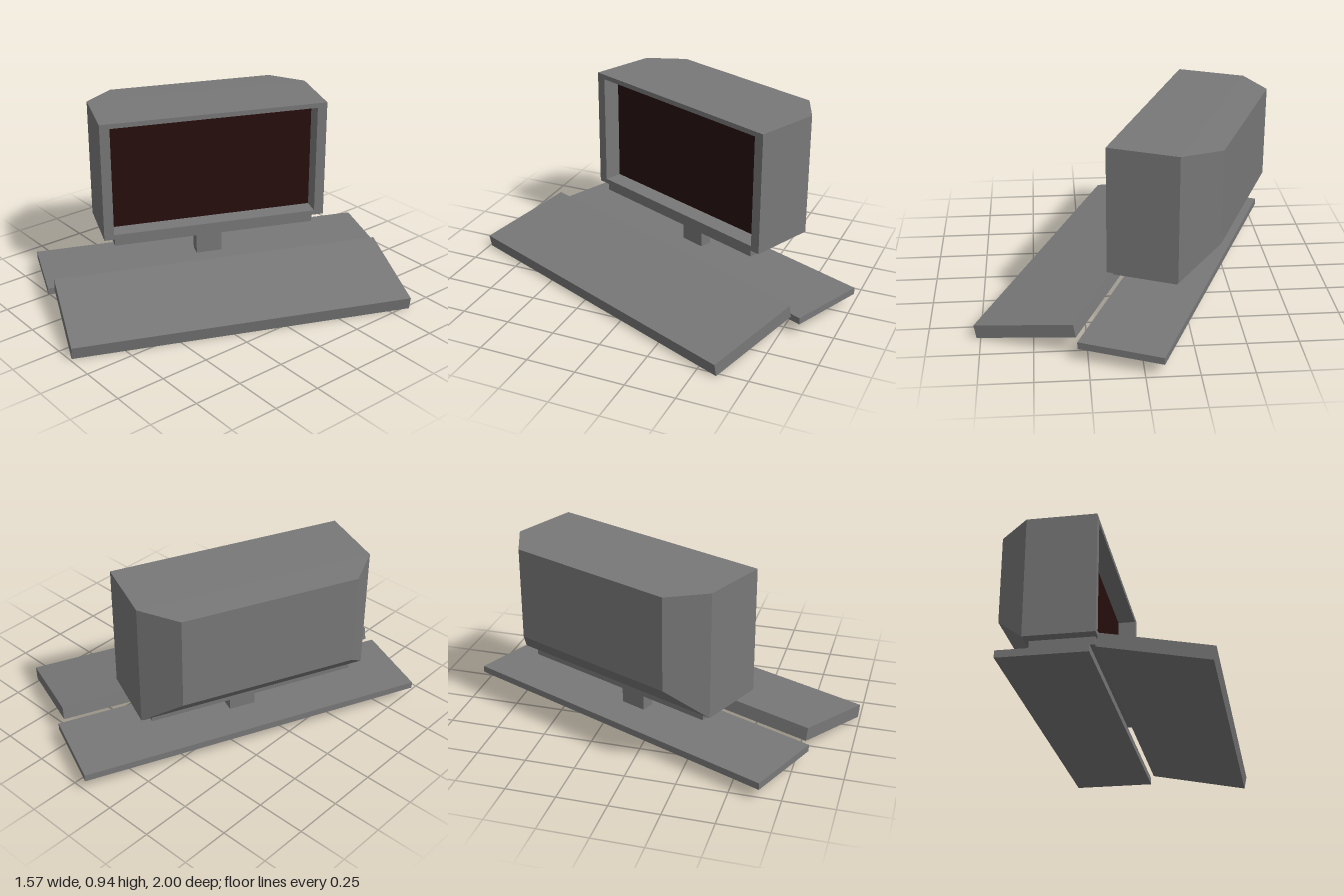
import * as THREE from 'three';

const grey = new THREE.MeshStandardMaterial({ color: 0x787878 });
grey.name = 'casingGrey';
const dark = new THREE.MeshStandardMaterial({ color: 0x280e0e });
dark.name = 'screenDarkRed';

// Skin through rectangles [halfWidth, bottom, top, z], closing the last one
function loftRectangles(rects) {
  const loops = rects.map(([w, y0, y1, z]) => [[-w, y0, z], [w, y0, z], [w, y1, z], [-w, y1, z]]);
  const pos = [];
  const quad = (a, b, c, d) => pos.push(...a, ...b, ...c, ...a, ...c, ...d);
  for (let k = 0; k < loops.length - 1; k++) {
    const a = loops[k], b = loops[k + 1];
    for (let i = 0; i < 4; i++) {
      const j = (i + 1) % 4;
      quad(a[i], b[i], b[j], a[j]);
    }
  }
  const e = loops[loops.length - 1];
  quad(e[3], e[2], e[1], e[0]);
  const g = new THREE.BufferGeometry();
  g.setAttribute('position', new THREE.Float32BufferAttribute(pos, 3));
  g.computeVertexNormals();
  return g;
}

export function createModel() {
  const model = new THREE.Group();
  model.name = 'desktopComputer';

  // Everything is built facing +z, then turned as one
  const set = new THREE.Group();
  set.name = 'computerSet';
  set.rotation.y = 1.17;
  model.add(set);

  const add = (name, geometry, material, x, y, z) => {
    const mesh = new THREE.Mesh(geometry, material);
    mesh.name = name;
    mesh.position.set(x, y, z);
    set.add(mesh);
    return mesh;
  };
  const cx = -0.007;

  // Flat base slab
  add('baseSlab', new THREE.BoxGeometry(1.795, 0.035, 0.418), grey, cx, 0.0825, -0.261);

  // Keyboard slab, tilted down towards the front
  const tilt = 0.195;
  const keyboard = add('keyboard', new THREE.BoxGeometry(1.728, 0.066, 0.516), grey, -0.01, 0.0824, 0.228);
  keyboard.rotation.x = tilt;

  // Neck
  add('neck', new THREE.BoxGeometry(0.137, 0.165, 0.065), grey, -0.01, 0.1775, -0.257);

  // Strip below the monitor, with a shallow tapered underside
  add('lowerStrip', new THREE.BoxGeometry(1.066, 0.042, 0.318), grey, -0.01, 0.291, -0.257);
  const taper = new THREE.BoxGeometry(1.066, 0.017, 0.318);
  const p = taper.attributes.position;
  for (let i = 0; i < p.count; i++) {
    if (p.getY(i) < 0) {
      p.setX(i, p.getX(i) * 0.15);
      p.setZ(i, p.getZ(i) * 0.25);
    }
  }
  taper.computeVertexNormals();
  add('stripUnderside', taper, grey, -0.01, 0.2615, -0.257);

  // Monitor casing: recess walls, frame, sides, chamfered back
  add('monitorCasing', loftRectangles([
    [0.54, 0.336, 0.916, -0.182],
    [0.54, 0.336, 0.916, -0.087],
    [0.591, 0.311, 0.941, -0.087],
    [0.591, 0.311, 0.941, -0.437],
    [0.44, 0.47, 0.935, -0.596],
  ]), grey, cx, 0, 0);

  // Screen at the bottom of the recess
  add('screen', new THREE.BoxGeometry(1.08, 0.58, 0.008), dark, cx, 0.626, -0.186);

  return model;
}
